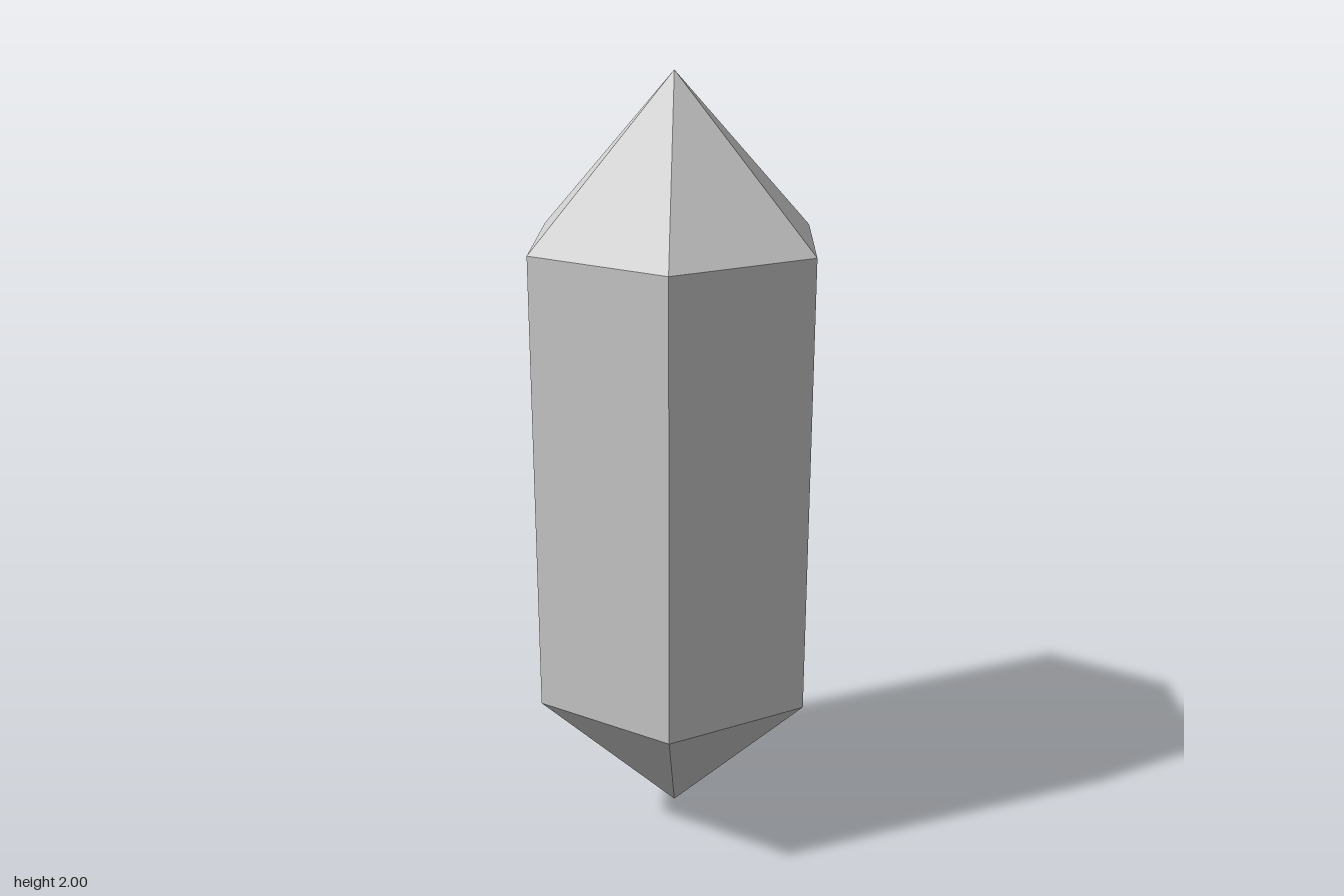
import * as THREE from 'three';

const SIDES = 6;
const RADIUS = 0.393;
const HEIGHT = 2;
const TIP = 0.407; // height of each pointed end

export function createModel() {
  const group = new THREE.Group();
  group.name = 'crystal';
  const material = new THREE.MeshStandardMaterial({ color: 0xcccccc, flatShading: true });

  const add = (name, geometry, y) => {
    const mesh = new THREE.Mesh(geometry, material);
    mesh.name = name;
    mesh.position.y = y;
    group.add(mesh);
  };

  // Hexagonal shaft, with corners at the front and back
  add('shaft', new THREE.CylinderGeometry(RADIUS, RADIUS, HEIGHT - 2 * TIP, SIDES, 1, true), HEIGHT / 2);

  // Pointed ends, open where they meet the shaft
  add('upperPoint', new THREE.CylinderGeometry(0, RADIUS, TIP, SIDES, 1, true), HEIGHT - TIP / 2);
  add('lowerPoint', new THREE.CylinderGeometry(RADIUS, 0, TIP, SIDES, 1, true), TIP / 2);

  return group;
}
